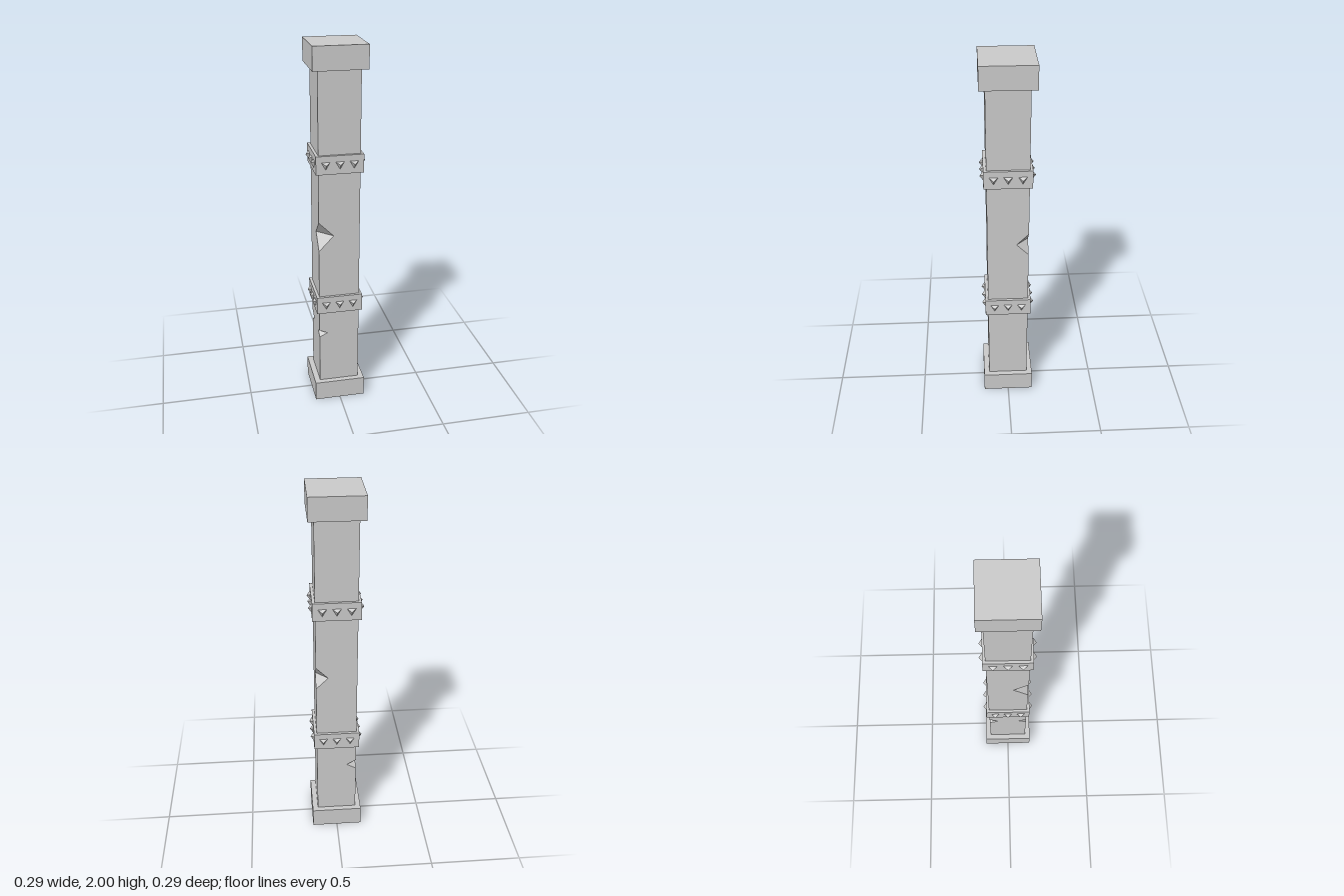
import * as THREE from 'three';

const HALF = 0.11; // half width of the shaft

// Wedges chopped out of the shaft's corners: sign of x and z, lower/apex/upper height, depth along each face
const NOTCHES = [
  { sx: -1, sz: 1, y: [0.92, 1.005, 1.085], d: 0.08 },
  { sx: 1, sz: -1, y: [0.94, 1.005, 1.07], d: 0.065 },
  { sx: -1, sz: 1, y: [0.395, 0.417, 0.437], d: 0.044 },
  { sx: -1, sz: -1, y: [0.39, 0.42, 0.45], d: 0.052 },
];

// How much of a corner is cut away at height y
function cutAt(sx, sz, y) {
  let cut = 0;
  for (const n of NOTCHES) {
    if (n.sx !== sx || n.sz !== sz) continue;
    const [a, m, b] = n.y;
    const t = y <= m ? (y - a) / (m - a) : (b - y) / (b - m);
    cut = Math.max(cut, t * n.d);
  }
  return cut < 1e-6 ? 0 : cut;
}

// Eight-point cross-section, counter-clockwise seen from above
function section(y) {
  const points = [];
  for (const [sx, sz] of [[1, 1], [1, -1], [-1, -1], [-1, 1]]) {
    const c = cutAt(sx, sz, y);
    const alongX = new THREE.Vector3(sx * (HALF - c), y, sz * HALF);
    const alongZ = new THREE.Vector3(sx * HALF, y, sz * (HALF - c));
    points.push(...(sx === sz ? [alongX, alongZ] : [alongZ, alongX]));
  }
  return points;
}

// Square shaft lofted through the heights where a notch begins, bottoms out or ends
function shaftGeometry(bottom, top) {
  const heights = [bottom, ...NOTCHES.flatMap((n) => n.y), top].sort((a, b) => a - b);
  const rings = [...new Set(heights)].map(section);
  const positions = [];
  const addTriangle = (a, b, c) => {
    if (new THREE.Triangle(a, b, c).getArea() < 1e-9) return;
    for (const p of [a, b, c]) positions.push(p.x, p.y, p.z);
  };
  for (let r = 0; r < rings.length - 1; r++) {
    for (let i = 0; i < 8; i++) {
      const j = (i + 1) % 8;
      addTriangle(rings[r][i], rings[r][j], rings[r + 1][j]);
      addTriangle(rings[r][i], rings[r + 1][j], rings[r + 1][i]);
    }
  }
  const geometry = new THREE.BufferGeometry();
  geometry.setAttribute('position', new THREE.Float32BufferAttribute(positions, 3));
  geometry.computeVertexNormals();
  return geometry;
}

export function createModel() {
  const model = new THREE.Group();
  model.name = 'post';
  const material = new THREE.MeshStandardMaterial({ color: 0xcccccc, flatShading: true });

  const add = (parent, name, geometry) => {
    const mesh = new THREE.Mesh(geometry, material);
    mesh.name = name;
    parent.add(mesh);
    return mesh;
  };
  const addBlock = (parent, name, half, y0, y1) => {
    const block = add(parent, name, new THREE.BoxGeometry(half * 2, y1 - y0, half * 2));
    block.position.y = (y0 + y1) / 2;
  };

  // Shaft with its base and capital
  add(model, 'shaft', shaftGeometry(0.1, 1.89));
  addBlock(model, 'base', 0.14, 0, 0.11);
  addBlock(model, 'capital', 0.14, 1.88, 2);

  // Two bands, each with three pointed studs per side
  const studGeometry = new THREE.ConeGeometry(0.028, 0.019, 3);
  studGeometry.rotateX(Math.PI / 2);
  for (const [name, y] of [['lowerBand', 0.6], ['upperBand', 1.402]]) {
    const band = new THREE.Group();
    band.name = name;
    model.add(band);
    addBlock(band, 'collar', 0.125, y - 0.049, y + 0.049);
    for (let side = 0; side < 4; side++) {
      const studs = new THREE.Group();
      studs.name = 'studRow';
      studs.rotation.y = (side * Math.PI) / 2;
      band.add(studs);
      for (const x of [-0.074, 0, 0.074]) {
        add(studs, 'stud', studGeometry).position.set(x, y + 0.003, 0.1335);
      }
    }
  }
  return model;
}
